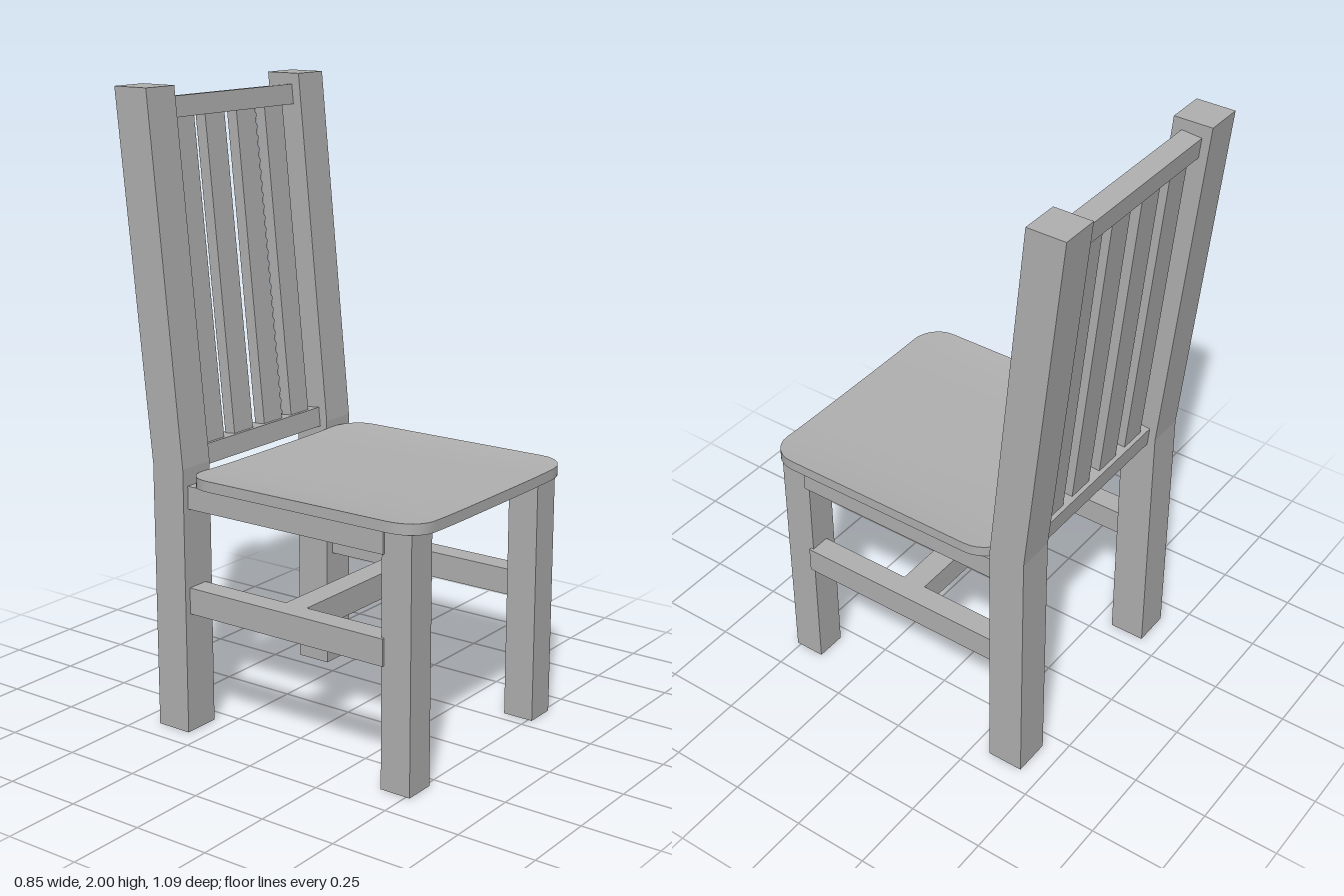
import * as THREE from 'three';

export function createModel() {
  const chair = new THREE.Group();
  chair.name = 'chair';
  const grey = new THREE.MeshStandardMaterial({ color: 0xb0b0b0 });
  grey.name = 'plain grey';

  const add = (name, geometry) => {
    const mesh = new THREE.Mesh(geometry, grey);
    mesh.name = name;
    chair.add(mesh);
    return mesh;
  };
  // Box given by its lower and upper limits on each axis
  const bar = (name, x0, x1, y0, y1, z0, z1) => {
    const mesh = add(name, new THREE.BoxGeometry(x1 - x0, y1 - y0, z1 - z0));
    mesh.position.set((x0 + x1) / 2, (y0 + y1) / 2, (z0 + z1) / 2);
    return mesh;
  };

  // Backrest leans back above the seat
  const lean = 0.112 / 1.14;
  const leanAngle = -Math.atan(lean);
  const backZ = (y) => -0.372 - (y - 0.86) * lean;

  // Seat: slab with rounded corners, dished across its width
  const w = 0.425, d = 0.4275, r = 0.095;
  const seatGeo = new THREE.BoxGeometry(2 * w, 0.034, 2 * d, 36, 1, 36);
  const p = seatGeo.attributes.position;
  for (let i = 0; i < p.count; i++) {
    let x = p.getX(i), z = p.getZ(i);
    const cx = THREE.MathUtils.clamp(x, r - w, w - r);
    const cz = THREE.MathUtils.clamp(z, r - d, d - r);
    const dx = x - cx, dz = z - cz, len = Math.hypot(dx, dz);
    if (len > 0) {
      const k = Math.max(Math.abs(dx), Math.abs(dz)) / len;
      x = cx + dx * k;
      z = cz + dz * k;
    }
    const dish = 0.012 * (1 - (x / w) ** 4) * (1 - 0.3 * (z / d) ** 2);
    p.setXYZ(i, x, p.getY(i) - dish, z);
  }
  seatGeo.computeVertexNormals();
  add('seat', seatGeo).position.set(0, 0.823, 0.1175);

  // Back post profile: straight leg, then leaning upright
  const profile = new THREE.Shape([
    [0.31, 0], [0.43, 0], [0.43, 0.86], [0.545, 2], [0.42, 2], [0.31, 0.86],
  ].map(([z, y]) => new THREE.Vector2(z, y)));
  const postGeo = new THREE.ExtrudeGeometry(profile, { depth: 0.125, bevelEnabled: false });
  postGeo.rotateY(Math.PI / 2);

  // Legs, aprons and side stretchers, mirrored
  for (const [side, s] of [['left', 1], ['right', -1]]) {
    const mirrored = (name, a, b, ...rest) =>
      bar(`${side} ${name}`, Math.min(s * a, s * b), Math.max(s * a, s * b), ...rest);
    add(`${side} back post`, postGeo).position.x = s > 0 ? 0.3 : -0.425;
    mirrored('front leg', 0.292, 0.395, 0, 0.802, 0.41, 0.513);
    mirrored('apron', 0.33, 0.404, 0.73, 0.803, -0.32, 0.42);
    mirrored('side stretcher', 0.33, 0.404, 0.39, 0.475, -0.32, 0.42);
  }
  bar('cross stretcher', -0.34, 0.34, 0.39, 0.475, 0.01, 0.09);

  // Back rails
  for (const [name, y] of [['lower back rail', 0.868], ['top back rail', 1.93]]) {
    const rail = add(name, new THREE.BoxGeometry(0.61, 0.064, 0.066));
    rail.position.set(0, y, backZ(y));
    rail.rotation.x = leanAngle;
  }

  // Four upright slats
  const slatGeo = new THREE.BoxGeometry(0.092, 1.03, 0.038);
  for (const x of [-0.219, -0.076, 0.074, 0.214]) {
    const slat = add('back slat', slatGeo);
    slat.position.set(x, 1.4, backZ(1.4));
    slat.rotation.x = leanAngle;
  }
  return chair;
}
